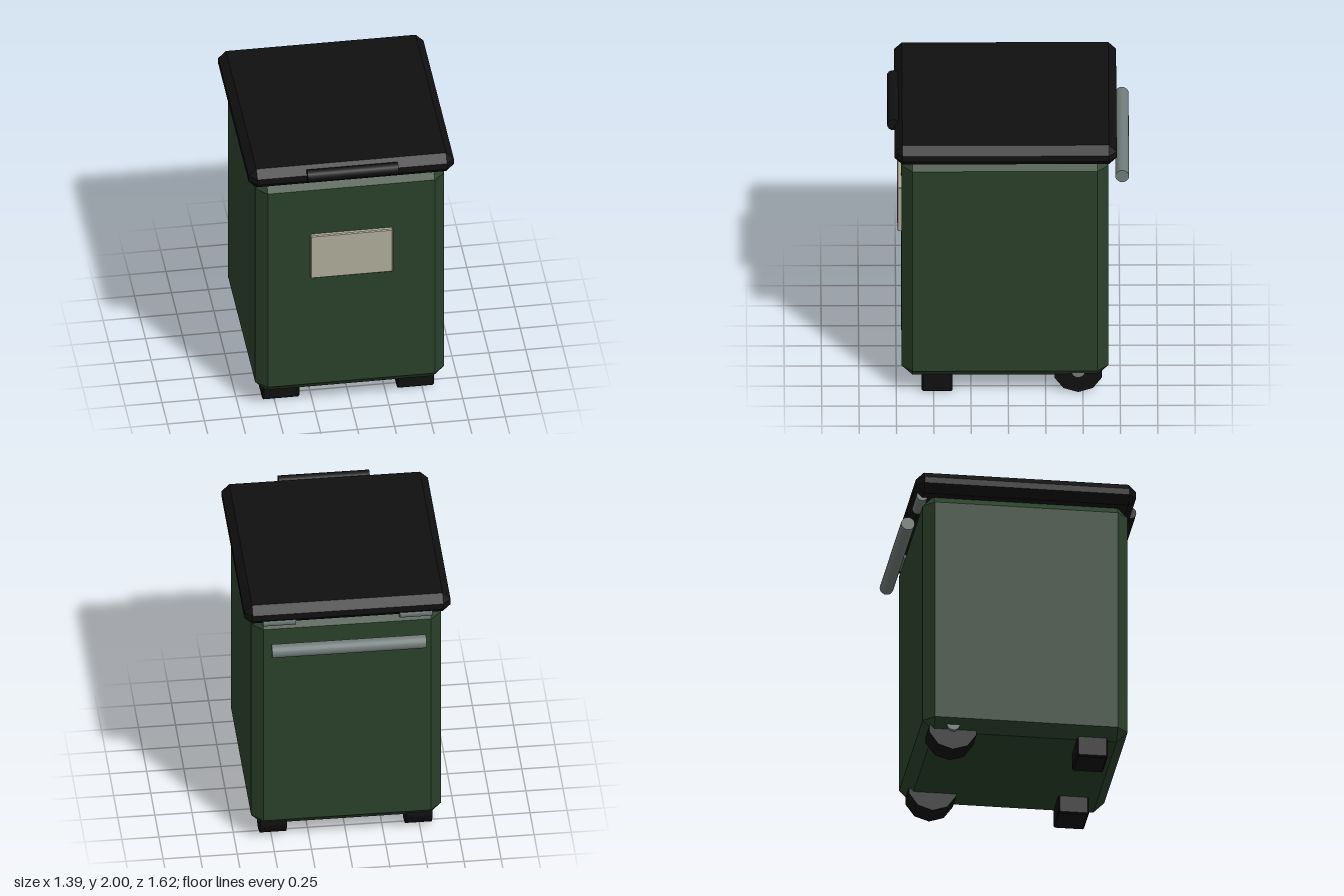
import * as THREE from 'three';
import { ConvexGeometry } from 'three/addons/geometries/ConvexGeometry.js';

const material = (name, color) => {
  const m = new THREE.MeshStandardMaterial({ color });
  m.name = name;
  return m;
};

// Box with every edge cut by a single flat bevel, given by its bounds
function bevelBox([x0, x1], [y0, y1], [z0, z1], bevel) {
  const half = [(x1 - x0) / 2, (y1 - y0) / 2, (z1 - z0) / 2];
  const points = [];
  for (const sx of [-1, 1]) for (const sy of [-1, 1]) for (const sz of [-1, 1]) {
    for (let axis = 0; axis < 3; axis++) {
      const p = half.map((h, i) => (i === axis ? h : h - bevel));
      points.push(new THREE.Vector3(p[0] * sx, p[1] * sy, p[2] * sz));
    }
  }
  return new ConvexGeometry(points).translate((x0 + x1) / 2, (y0 + y1) / 2, (z0 + z1) / 2);
}

// Cylinder lying along x
function bar(radius, length, sides, x, y, z) {
  return new THREE.CylinderGeometry(radius, radius, length, sides)
    .rotateZ(Math.PI / 2).translate(x, y, z);
}

export function createModel() {
  const green = material('green plastic', 0x2a402a);
  const black = material('black rubber', 0x101010);
  const grey = material('grey metal', 0x727c7a);
  const beige = material('beige label', 0xaeab98);

  const bin = new THREE.Group();
  bin.name = 'wheeledBin';
  const add = (name, geometry, mat) => {
    const mesh = new THREE.Mesh(geometry, mat);
    mesh.name = name;
    bin.add(mesh);
  };

  // Container, lid and front grip
  add('body', bevelBox([-0.64, 0.64], [0.13, 1.865], [-0.672, 0.715], 0.075), green);
  add('lid', bevelBox([-0.695, 0.695], [1.85, 2], [-0.727, 0.762], 0.053), black);
  add('lidGrip', bar(0.042, 0.615, 16, 0, 1.951, 0.768), black);

  // Label plate on the front
  add('label', bevelBox([-0.278, 0.278], [1.085, 1.432], [0.7, 0.742], 0.006), beige);

  // Rear push handle
  add('handle', bar(0.046, 1.04, 20, 0, 1.675, -0.764), grey);

  for (const side of [-1, 1]) {
    const name = side > 0 ? 'left' : 'right';
    add(`${name}Hinge`, bar(0.038, 0.22, 16, side * 0.46, 1.865, -0.674), grey);

    // Front foot
    const xs = [side * 0.33, side * 0.582].sort((a, b) => a - b);
    add(`${name}Foot`, bevelBox(xs, [0.006, 0.2], [0.372, 0.58], 0.01), black);

    // Rear wheel with a flat facet on the ground, and its hub
    const wheel = bar(0.168, 0.18, 10, 0, 0, 0)
      .rotateX(Math.PI / 10).translate(side * 0.49, 0.168, -0.468);
    add(`${name}Wheel`, wheel, black);
    add(`${name}Hub`, bar(0.045, 0.215, 14, side * 0.4975, 0.175, -0.468), grey);
  }
  return bin;
}
